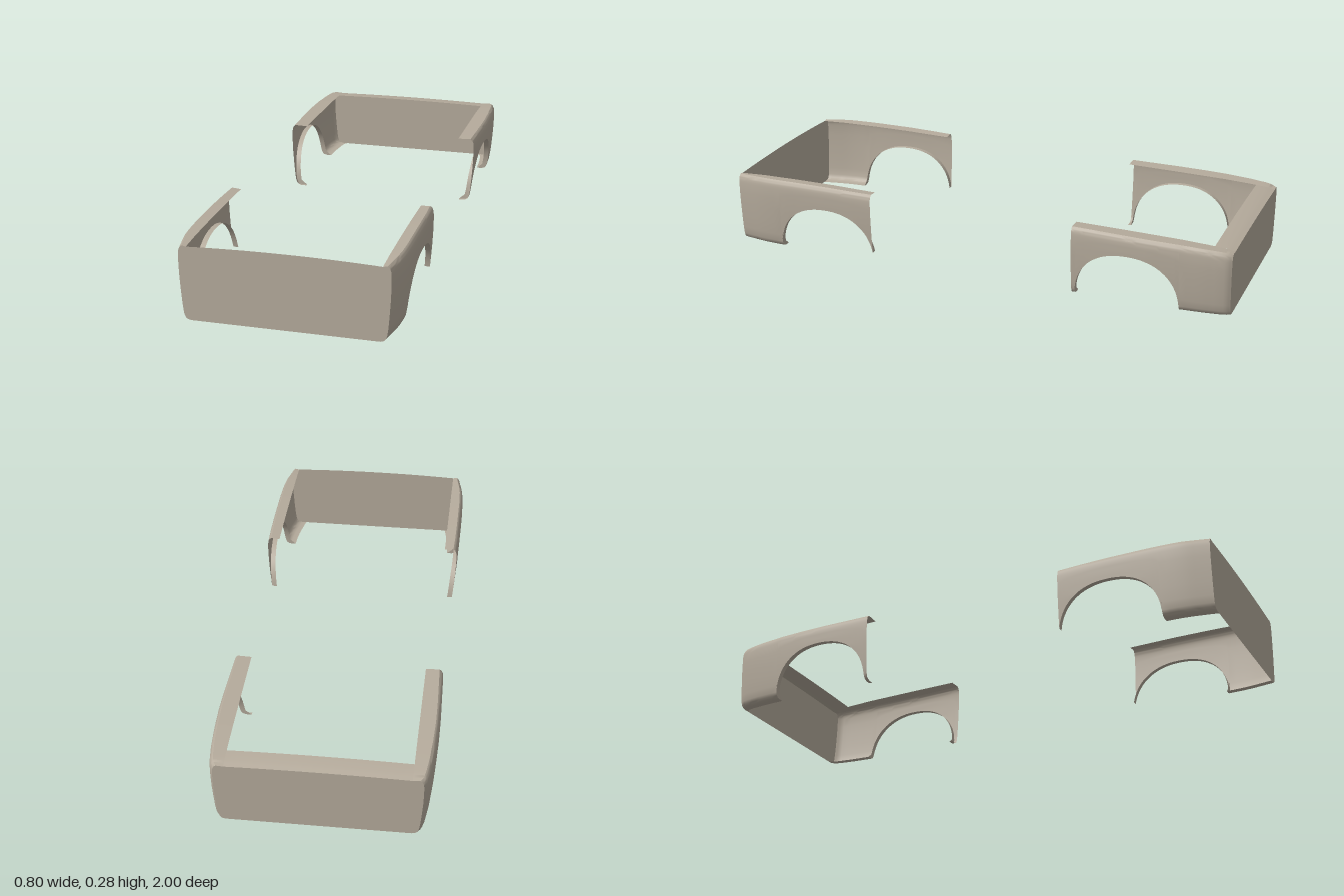
import * as THREE from 'three';
import { toCreasedNormals } from 'three/addons/utils/BufferGeometryUtils.js';

const paint = new THREE.MeshStandardMaterial({ color: 0xb5ab9c, side: THREE.DoubleSide });
paint.name = 'warm grey paint';

// Linear lookup in a list of [key, value] pairs with rising keys
function lookup(table, k) {
  if (k <= table[0][0]) return table[0][1];
  for (let i = 1; i < table.length; i++) {
    const [a, va] = table[i - 1], [b, vb] = table[i];
    if (k <= b) return va + (vb - va) * (k - a) / (b - a);
  }
  return table[table.length - 1][1];
}

// Half width of the body side against relative height
const sideProfile = [[0, 0.362], [0.012, 0.374], [0.035, 0.381], [0.08, 0.386], [0.18, 0.390],
  [0.35, 0.394], [0.55, 0.398], [0.75, 0.4], [0.88, 0.4], [0.94, 0.398], [0.975, 0.394], [1, 0.386]];
const lowerRows = [0, 0.014, 0.04, 0.093, 0.21, 0.41, 0.64, 0.84, 1];
const upperRows = [0.91, 0.94, 0.96, 0.975, 0.99, 1];

// Each end: arch centre, nearest cut to the doors, far end, height and inset along |z|
const frontEnd = {
  arch: 0.612, cut: 0.414, flange: 0.347, drop: 0.003,
  height: [[0.41, 0.278], [0.6, 0.283], [0.75, 0.284], [0.9, 0.283], [1, 0.279]],
  inset: [[0.41, 0.004], [0.5, 0.001], [0.6, 0], [0.78, 0], [0.86, 0.002], [0.91, 0.007], [1, 0.023]],
};
const rearEnd = {
  arch: 0.615, cut: 0.402, flange: 0.328, drop: 0.002,
  height: [[0.4, 0.271], [0.6, 0.267], [0.8, 0.262], [0.9, 0.257], [0.97, 0.252], [1, 0.245]],
  inset: [[0.4, 0.007], [0.5, 0.004], [0.6, 0.001], [0.7, 0], [0.8, 0.003], [0.9, 0.009],
    [0.96, 0.016], [0.985, 0.022], [1, 0.032]],
};
const archRadius = 0.2, archHeight = 0.19, archPower = 2 / 2.25;

// Section at distance d from the middle, from the lower lip up to the inner flange: [x, y]
function section(end, d, low) {
  const H = lookup(end.height, d), inset = lookup(end.inset, d);
  const t0 = low / H;
  const rows = lowerRows.map((f) => t0 + (0.88 - t0) * f).concat(upperRows);
  const points = rows.map((t) => [lookup(sideProfile, t) - inset, t * H]);
  points.unshift([points[0][0] - 0.02, low]);
  points.push([end.flange, H - end.drop]);
  return points;
}

// Surface through equally long rows of 3D points
function skin(columns, flip) {
  const n = columns[0].length, index = [];
  for (let i = 0; i < columns.length - 1; i++) {
    for (let j = 0; j < n - 1; j++) {
      const a = i * n + j, b = a + n;
      if (flip) index.push(a, a + 1, b, b, a + 1, b + 1);
      else index.push(a, b, a + 1, b, b + 1, a + 1);
    }
  }
  const geo = new THREE.BufferGeometry();
  geo.setAttribute('position', new THREE.Float32BufferAttribute(columns.flat(2), 3));
  geo.setIndex(index);
  return toCreasedNormals(geo, 0.7);
}

function addMesh(group, name, geo) {
  const mesh = new THREE.Mesh(geo, paint);
  mesh.name = name;
  group.add(mesh);
}

// Fender with an open wheel arch, side = 1 left or -1 right, dir = 1 front or -1 rear
function fender(end, side, dir) {
  const stations = [];
  if (end.cut < end.arch - archRadius) stations.push([end.cut, 0]);
  const steps = 40;
  for (let i = 0; i <= steps; i++) {
    const a = Math.PI * (1 - i / steps), c = Math.cos(a);
    const d = end.arch + archRadius * Math.sign(c) * Math.abs(c) ** archPower;
    const low = archHeight * Math.max(0, Math.sin(a)) ** archPower;
    if (d >= end.cut) stations.push([d, i === 0 || i === steps ? 0 : low]);
  }
  for (const d of [0.84, 0.87, 0.9, 0.92, 0.94, 0.96, 0.975, 0.985, 0.993, 1]) stations.push([d, 0]);
  const columns = stations.map(([d, low]) =>
    section(end, d, low).map(([x, y]) => [x * side, y, d * dir]));
  return skin(columns, side * dir > 0);
}

// Flat end panel closing the space between two fenders, with a slightly crowned top
function endPanel(end, crown, dir) {
  const edge = section(end, 1, 0);
  const [fx, fy] = edge[edge.length - 1];
  const top = [];
  for (let i = 1; i < 16; i++) {
    const x = fx * (1 - i / 8);
    top.push([x, fy + crown * (1 - (x / fx) ** 2)]);
  }
  const mirrored = edge.map(([x, y]) => [-x, y]).reverse();
  const outline = [...edge, ...top, ...mirrored].map(([x, y]) => new THREE.Vector2(x, y));
  const geo = new THREE.ShapeGeometry(new THREE.Shape(outline));
  if (dir < 0) geo.rotateY(Math.PI);
  return geo.translate(0, 0, dir);
}

export function createModel() {
  const model = new THREE.Group();
  model.name = 'bodyShell';

  const front = new THREE.Group();
  front.name = 'frontBody';
  const rear = new THREE.Group();
  rear.name = 'rearBody';
  model.add(front, rear);

  for (const [side, label] of [[1, 'left'], [-1, 'right']]) {
    addMesh(front, label + 'FrontFender', fender(frontEnd, side, 1));
    addMesh(rear, label + 'RearFender', fender(rearEnd, side, -1));
  }
  addMesh(front, 'frontPanel', endPanel(frontEnd, 0.008, 1));
  addMesh(rear, 'rearPanel', endPanel(rearEnd, 0.004, -1));

  // Ledge along the top of the rear panel
  const ledge = [];
  for (let i = 0; i <= 16; i++) {
    const x = rearEnd.flange * (i / 8 - 1);
    const rise = 0.004 * (1 - (x / rearEnd.flange) ** 2) - rearEnd.drop;
    ledge.push([1, 0.985, 0.97, 0.925].map((d) => [x, lookup(rearEnd.height, d) + rise, -d]));
  }
  addMesh(rear, 'rearLedge', skin(ledge, true));

  return model;
}
